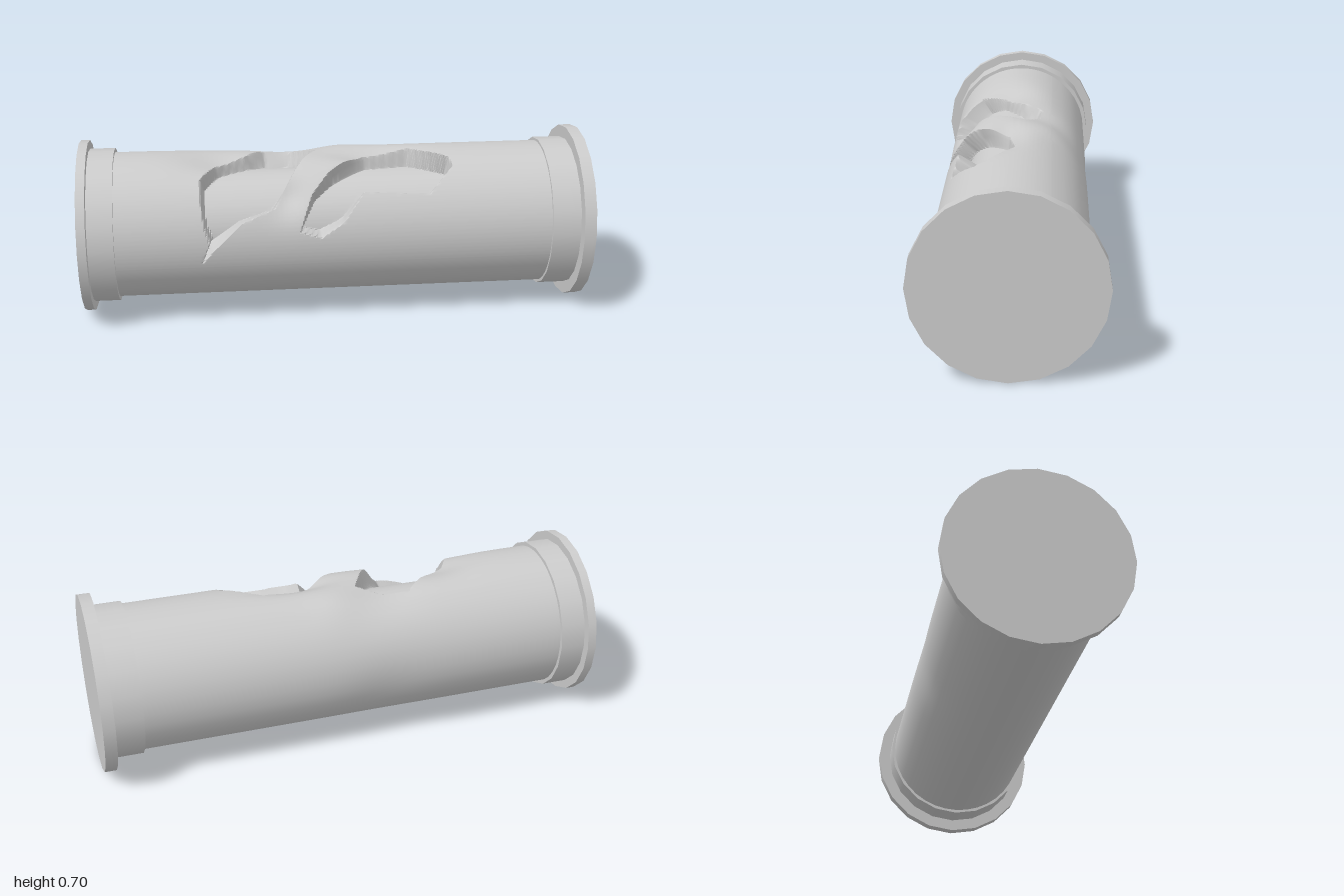
import * as THREE from 'three';
import { toCreasedNormals } from 'three/addons/utils/BufferGeometryUtils.js';

const R = 0.289, CY = 0.35, RAD = Math.PI / 180;

// Tear outlines as [x, degrees from the top towards the front]
const tears = [
  [[-0.53, 36], [-0.47, 14], [-0.35, -4], [-0.27, -21], [-0.17, -20], [-0.07, -7], [-0.12, 12], [-0.21, 46],
    [-0.25, 62], [-0.38, 73], [-0.49, 94], [-0.53, 104], [-0.5, 88], [-0.52, 75], [-0.53, 58]],
  [[-0.15, 81], [-0.1, 52], [-0.02, 31], [0.12, 5], [0.3, -1], [0.45, 20], [0.46, 30], [0.36, 54],
    [0.1, 51], [0.02, 74], [-0.07, 86]],
].map((t) => t.map(([x, a]) => [x, a * RAD * R]));

// Dents and swellings: x, degrees, width in x, width in degrees, radial amount
const dents = [
  [-0.42, 10, 0.16, 22, -0.04],
  [-0.18, -14, 0.14, 20, -0.022],
  [0.16, 8, 0.16, 13, -0.035],
  [-0.2, 52, 0.08, 16, -0.03],
  [0.04, -28, 0.1, 16, 0.008],
  [-0.12, -105, 0.15, 25, -0.008],
];

// Distance to an outline, positive inside it
function insideDistance(poly, x, s) {
  let best = Infinity, inside = false;
  poly.forEach(([ax, as], i) => {
    const [bx, bs] = poly[(i + 1) % poly.length];
    const dx = bx - ax, ds = bs - as;
    const t = THREE.MathUtils.clamp(((x - ax) * dx + (s - as) * ds) / (dx * dx + ds * ds), 0, 1);
    best = Math.min(best, Math.hypot(x - ax - t * dx, s - as - t * ds));
    if ((as > s) !== (bs > s) && x < ax + ((s - as) / ds) * dx) inside = !inside;
  });
  return inside ? best : -best;
}

function radiusAt(x, deg) {
  let r = R;
  for (const [dx, da, wx, wa, amount] of dents) {
    r += amount * Math.exp(-(((x - dx) / wx) ** 2) - ((deg - da) / wa) ** 2);
  }
  for (const tear of tears) {
    const d = insideDistance(tear, x, deg * RAD * R);
    r = THREE.MathUtils.lerp(r, Math.min(r, 0.205), THREE.MathUtils.smoothstep(d, -0.002, 0.01));
  }
  return r;
}

// Evenly spaced stations from a to b, without b
const span = (a, b, n) => Array.from({ length: n }, (_, i) => a + ((b - a) * i) / n);

// Pipe wall, with a finer grid around the tears
function pipeGeometry() {
  const xs = [...span(-0.9, -0.57, 6), ...span(-0.57, 0.5, 160), ...span(0.5, 0.9, 5), 0.9];
  const angles = [...span(-180, -30, 15), ...span(-30, 110, 110), ...span(110, 180, 7), 180];
  const position = [], index = [], n = angles.length;
  for (const x of xs) {
    for (const deg of angles) {
      const r = radiusAt(x, deg);
      position.push(x, CY + r * Math.cos(deg * RAD), r * Math.sin(deg * RAD));
    }
  }
  for (let i = 0; i < xs.length - 1; i++) {
    for (let j = 0; j < n - 1; j++) {
      const a = i * n + j, b = a + n;
      index.push(a, a + 1, b, b, a + 1, b + 1);
    }
  }
  const geometry = new THREE.BufferGeometry();
  geometry.setAttribute('position', new THREE.Float32BufferAttribute(position, 3));
  geometry.setIndex(index);
  return toCreasedNormals(geometry, 0.6);
}

export function createModel() {
  const model = new THREE.Group();
  const material = new THREE.MeshStandardMaterial({ color: 0xcccccc });
  const add = (name, geometry) => {
    const mesh = new THREE.Mesh(geometry, material);
    mesh.name = name;
    model.add(mesh);
  };
  const disc = (name, x0, x1, r) => add(name,
    new THREE.CylinderGeometry(r, r, x1 - x0, 20).rotateZ(-Math.PI / 2).rotateX(Math.PI / 2)
      .translate((x0 + x1) / 2, CY, 0));

  add('tornPipe', pipeGeometry());

  // Collars and closed end flanges
  disc('rightCollar', -0.97, -0.865, 0.306);
  disc('rightFlange', -1, -0.965, 0.341);
  disc('leftCollar', 0.84, 0.96, 0.302);
  disc('leftFlange', 0.953, 1, 0.35);
  return model;
}
